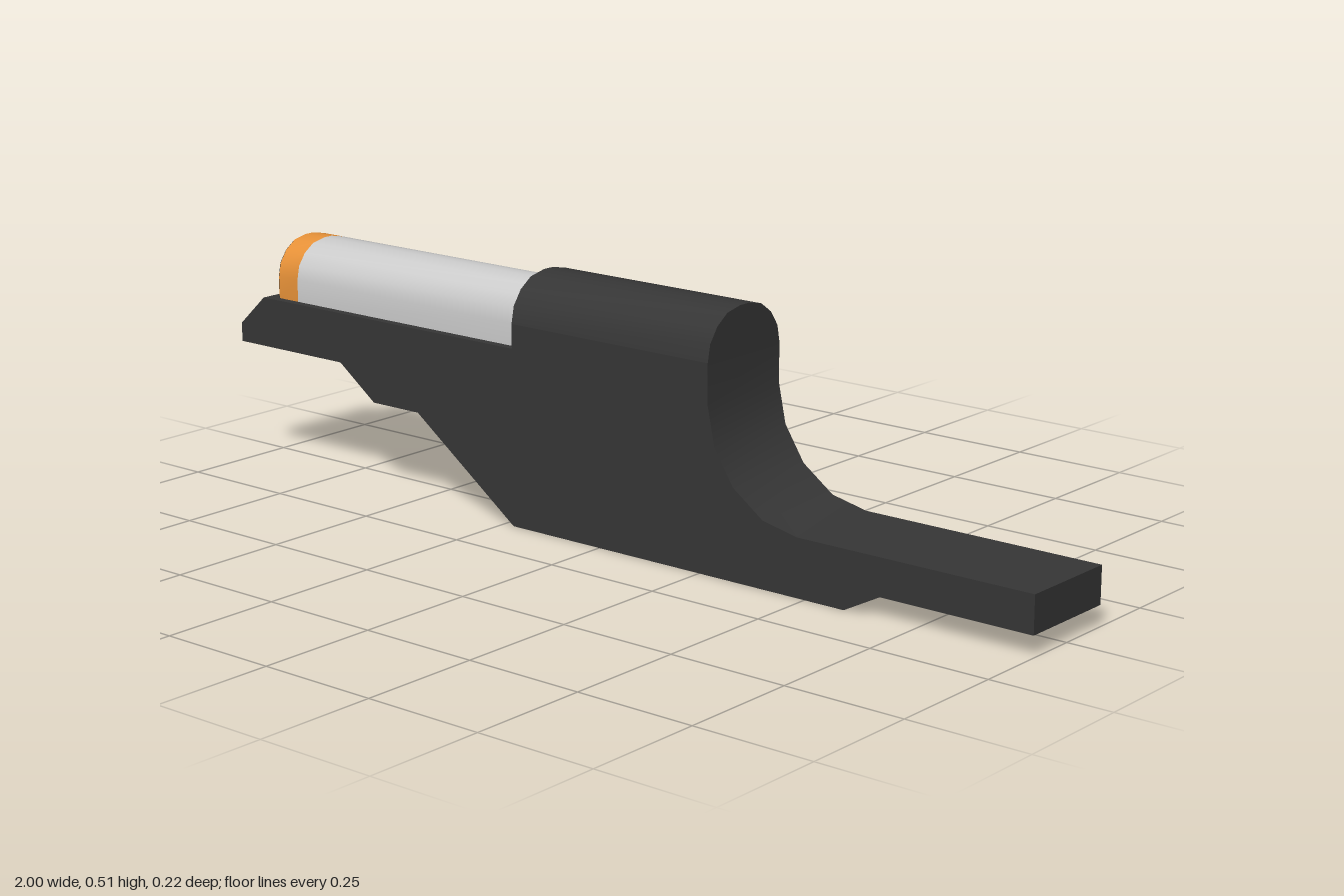
import * as THREE from 'three';
import { toCreasedNormals } from 'three/addons/utils/BufferGeometryUtils.js';

const CREASE = THREE.MathUtils.degToRad(26.5);
const dark = new THREE.MeshStandardMaterial({ color: 0x363636 });
const grey = new THREE.MeshStandardMaterial({ color: 0xcccccc });
const orange = new THREE.MeshStandardMaterial({ color: 0xe69138 });

// Half of the rounded top: distance from the middle, height above the spring line
const ARCH = [[0.11, 0], [0.103, 0.035], [0.082, 0.065], [0.052, 0.086], [0.013, 0.094]];

function extrude(points, depth) {
  const shape = new THREE.Shape(points.map(([x, y]) => new THREE.Vector2(x, y)));
  return new THREE.ExtrudeGeometry(shape, { depth, bevelEnabled: false });
}

// Round-topped bar running along x, from x0 to x1
function archBar(name, x0, x1, base, top, halfWidth, material) {
  const s = halfWidth / 0.11;
  const spring = top - 0.094 * s;
  const right = ARCH.map(([u, v]) => [u * s, spring + v * s]);
  const left = right.map(([u, v]) => [-u, v]).reverse();
  const foot = base < spring ? [[-halfWidth, base], [halfWidth, base]] : [];
  const geometry = extrude([...foot, ...right, ...left], x1 - x0);
  geometry.rotateY(Math.PI / 2).translate(x0, 0, 0);
  const mesh = new THREE.Mesh(toCreasedNormals(geometry, CREASE), material);
  mesh.name = name;
  return mesh;
}

export function createModel() {
  const model = new THREE.Group();
  model.name = 'slidingBolt';

  // Flat-sided body with stepped underside and curved rear
  const profile = [
    [-1, 0.26], [-0.705, 0.26], [-0.61, 0.19], [-0.485, 0.19], [-0.225, 0],
    [0.59, 0], [0.67, 0.042], [1, 0.042], [1, 0.118], [0.48, 0.118],
    [0.4, 0.135], [0.33, 0.185], [0.285, 0.255], [0.268, 0.335], [0.268, 0.415],
    [-0.225, 0.415], [-0.225, 0.365], [-0.93, 0.365], [-1, 0.3],
  ];
  const bodyGeometry = extrude(profile, 0.22).translate(0, 0, -0.11);
  const body = new THREE.Mesh(toCreasedNormals(bodyGeometry, CREASE), dark);
  body.name = 'body';
  model.add(body);

  // Rounded housing above the body
  model.add(archBar('housingTop', -0.225, 0.268, 0.415, 0.509, 0.11, dark));

  // Barrel, its coloured end band and the dark end face
  model.add(archBar('barrel', -0.845, -0.225, 0.365, 0.49, 0.092, grey));
  model.add(archBar('endBand', -0.9, -0.845, 0.365, 0.49, 0.092, orange));
  model.add(archBar('endFace', -0.902, -0.9, 0.365, 0.489, 0.091, dark));

  return model;
}
